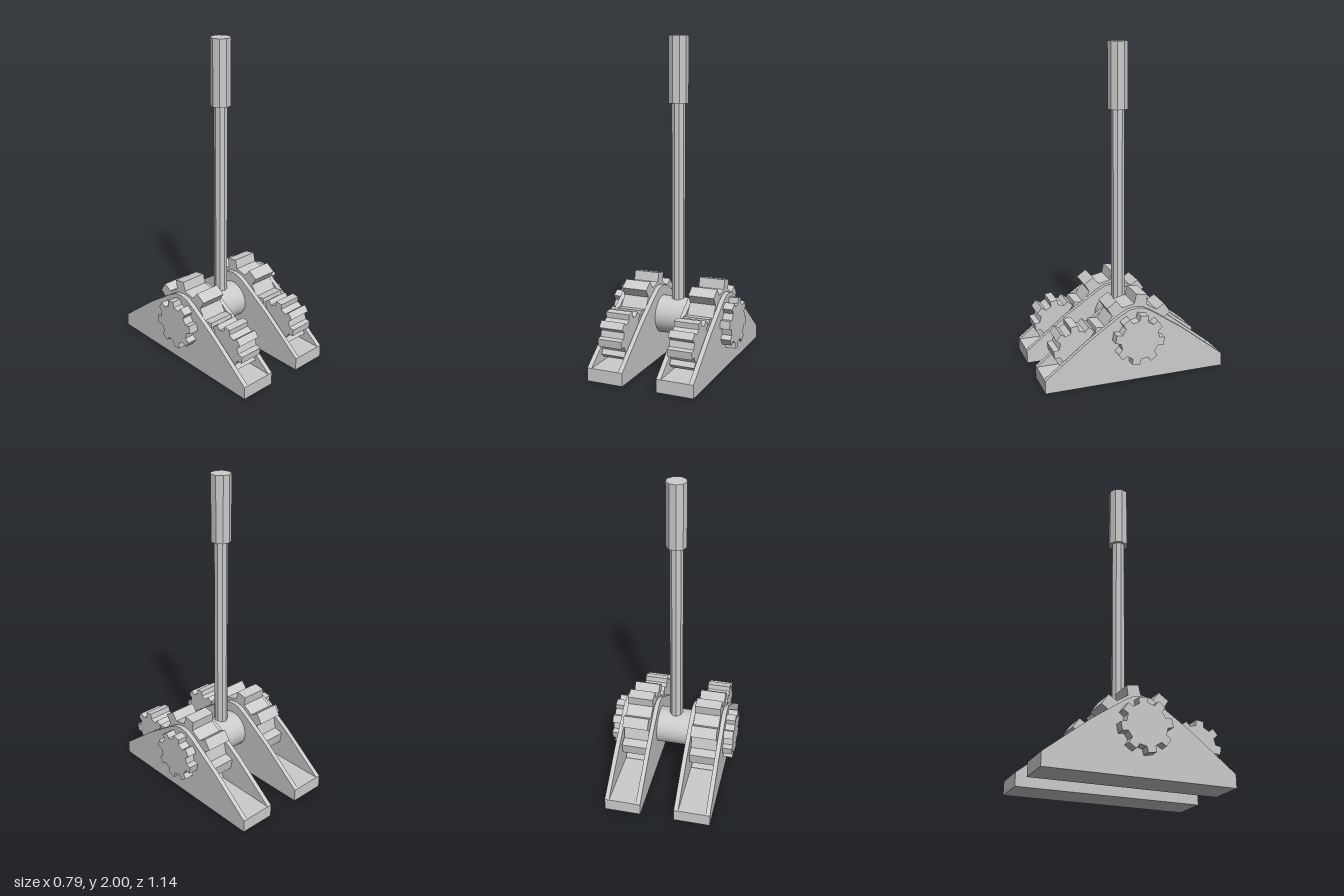
import * as THREE from 'three';

const material = new THREE.MeshStandardMaterial({ color: 0xcccccc, flatShading: true });
const smooth = new THREE.MeshStandardMaterial({ color: 0xcccccc });

function addMesh(parent, name, geometry, mat = material) {
  const mesh = new THREE.Mesh(geometry, mat);
  mesh.name = name;
  parent.add(mesh);
  return mesh;
}

// Extrude a side profile (u = -z, v = y) along x, centred on x = 0
function extrudeAcross(points, width) {
  const geometry = new THREE.ExtrudeGeometry(new THREE.Shape(points), {
    depth: width, bevelEnabled: false,
  });
  return geometry.translate(0, 0, -width / 2).rotateY(Math.PI / 2);
}

// Spur gear with eight blocky teeth
function gear(outer, root, toothWidth, phaseDegrees, width) {
  const teeth = 8;
  const points = [];
  const rootHalf = Math.asin(toothWidth * 0.54 / root);
  const tipHalf = Math.asin(toothWidth * 0.5 / outer);
  for (let i = 0; i < teeth; i++) {
    const a = THREE.MathUtils.degToRad(phaseDegrees) + i * 2 * Math.PI / teeth;
    for (const [r, offset] of [[root, -rootHalf], [outer, -tipHalf], [outer, tipHalf], [root, rootHalf]]) {
      points.push(new THREE.Vector2(r * Math.cos(a + offset), r * Math.sin(a + offset)));
    }
  }
  return extrudeAcross(points, width);
}

// Nine-sided bar between two heights, one corner towards -x
function bar(radius, bottom, top) {
  return new THREE.CylinderGeometry(radius, radius, top - bottom, 9)
    .rotateY(-Math.PI / 2).translate(0, (top + bottom) / 2, 0);
}

export function createModel() {
  const model = new THREE.Group();
  model.name = 'gearedLever';
  const axleY = 0.277;

  // Sloped cheek outline, mirrored front to back
  const half = [[0.57, 0], [0.57, 0.08], [0.3, 0.29], [0.1, 0.425], [0.05, 0.452]];
  const cheek = [
    ...half.map(([u, v]) => new THREE.Vector2(u, v)),
    new THREE.Vector2(0, 0.46),
    ...half.slice().reverse().map(([u, v]) => new THREE.Vector2(-u, v)),
  ];

  for (const side of [1, -1]) {
    const unit = new THREE.Group();
    unit.name = side > 0 ? 'leftGearUnit' : 'rightGearUnit';
    unit.position.x = side * 0.221;
    model.add(unit);

    // Open-topped housing
    addMesh(unit, 'housingFloor', new THREE.BoxGeometry(0.172, 0.08, 1.14).translate(0, 0.04, 0));
    for (const s of [1, -1]) {
      addMesh(unit, s === side ? 'outerCheek' : 'innerCheek', extrudeAcross(cheek, 0.028))
        .position.x = s * 0.1;
    }

    // Gear train inside the housing and the hub gear outside it
    addMesh(unit, 'driveGear', gear(0.258, 0.2, 0.072, 80, 0.164)).position.y = axleY;
    addMesh(unit, 'pinion', gear(0.146, 0.113, 0.046, 97, 0.152)).position.set(0, 0.235, 0.36);
    addMesh(unit, 'hubGear', gear(0.156, 0.122, 0.05, 80, 0.062)).position.set(side * 0.144, axleY, 0);
  }

  // Axle drum joining both units
  addMesh(model, 'axle', new THREE.CylinderGeometry(0.117, 0.117, 0.3, 40).rotateZ(Math.PI / 2), smooth)
    .position.y = axleY;

  // Lever
  addMesh(model, 'leverRod', bar(0.042, axleY, 1.61));
  addMesh(model, 'leverGrip', bar(0.062, 1.6, 2));

  return model;
}
